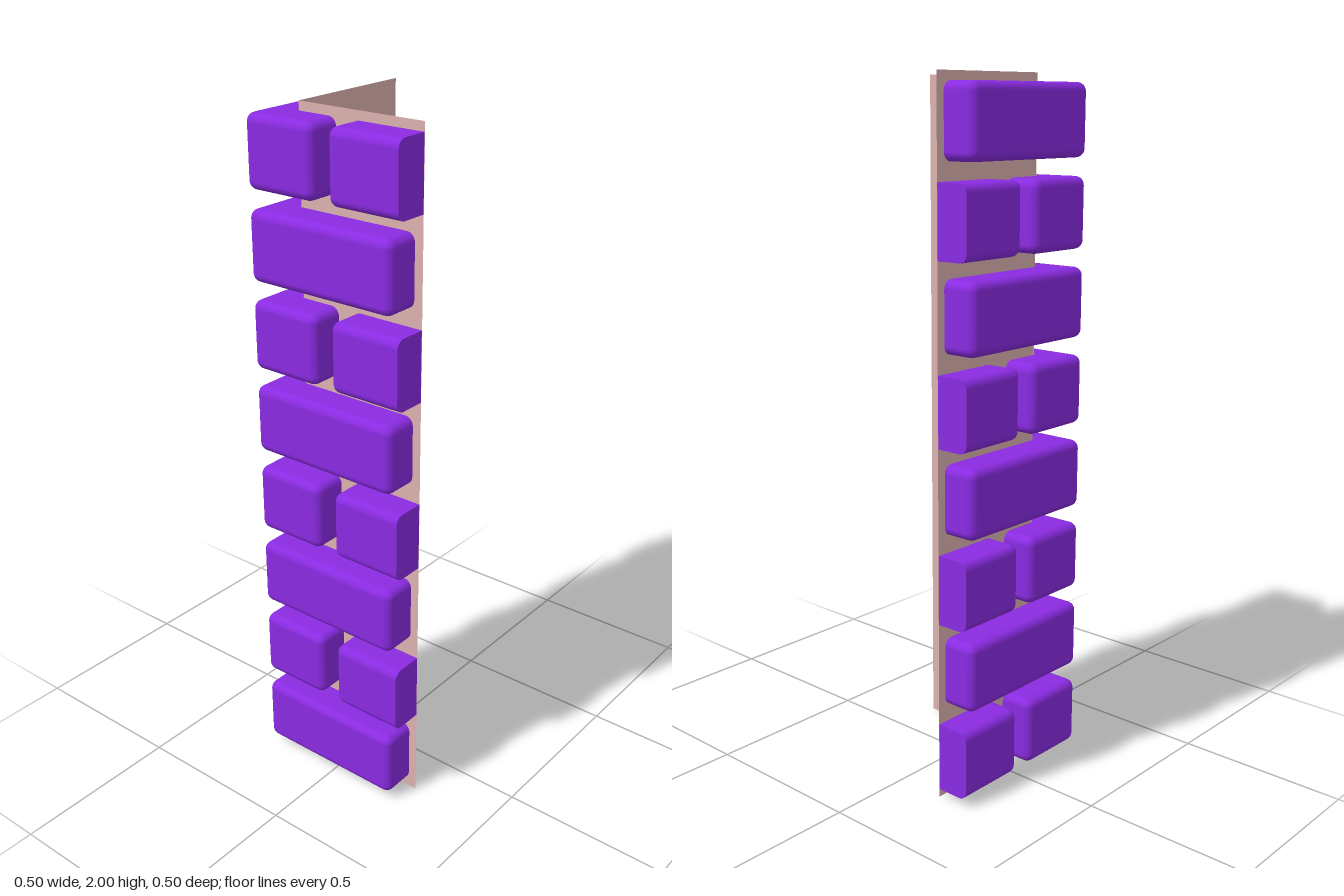
import * as THREE from 'three';
import { RoundedBoxGeometry } from 'three/addons/geometries/RoundedBoxGeometry.js';

const R = 0.025;         // edge rounding and half the mortar gap
const OUT = 0.25;        // outer reach of the corner
const IN = 0.15;         // plane of the backing
const COURSES = 8;
const PITCH = 2 / COURSES;

// Rounded block between two corners. Sides listed in cuts ([axis, +1 or -1])
// are sawn flat: the block is made longer by R there and pressed back to the plane.
function blockGeometry(min, max, cuts) {
  const lo = [...min], hi = [...max];
  for (const [axis, side] of cuts) {
    if (side > 0) hi[axis] += R;
    else lo[axis] -= R;
  }
  const geo = new RoundedBoxGeometry(hi[0] - lo[0], hi[1] - lo[1], hi[2] - lo[2], 4, R);
  geo.translate((lo[0] + hi[0]) / 2, (lo[1] + hi[1]) / 2, (lo[2] + hi[2]) / 2);
  const pos = geo.attributes.position, normal = geo.attributes.normal;
  for (const [axis, side] of cuts) {
    const plane = side > 0 ? max[axis] : min[axis];
    for (let i = 0; i < pos.count; i += 3) {
      const corners = [i, i + 1, i + 2];
      const flat = corners.every((k) => (pos.getComponent(k, axis) - plane) * side > -1e-5);
      for (const k of corners) {
        if ((pos.getComponent(k, axis) - plane) * side > 0) pos.setComponent(k, axis, plane);
        if (flat) {
          normal.setXYZ(k, 0, 0, 0);
          normal.setComponent(k, axis, side);
        }
      }
    }
  }
  return geo;
}

export function createModel() {
  const model = new THREE.Group();
  model.name = 'brickCorner';
  const brickMaterial = new THREE.MeshStandardMaterial({ color: 0x8a2be2 });
  const mortarMaterial = new THREE.MeshStandardMaterial({ color: 0xdcb2af, side: THREE.DoubleSide });

  const add = (parent, name, geo, material) => {
    const mesh = new THREE.Mesh(geo, material);
    mesh.name = name;
    parent.add(mesh);
    return mesh;
  };

  // Thin mortar backing, one sheet for each wall
  const sheet = OUT + IN;
  const mid = (OUT - IN) / 2;
  const skin = 0.001;
  add(model, 'frontMortar', new THREE.PlaneGeometry(sheet, 2), mortarMaterial)
    .position.set(mid, 1, IN - skin);
  const sideMortar = add(model, 'sideMortar', new THREE.PlaneGeometry(sheet, 2), mortarMaterial);
  sideMortar.rotation.y = -Math.PI / 2;
  sideMortar.position.set(-IN + skin, 1, -mid);

  // Courses: the long leg of the corner brick swaps walls on every course
  for (let i = 0; i < COURSES; i++) {
    const course = new THREE.Group();
    course.name = `course${i + 1}`;
    model.add(course);
    const y0 = i * PITCH + R, y1 = (i + 1) * PITCH - R;
    const longFront = i % 2 === 0;
    const frontEnd = longFront ? OUT - R : -R;
    const sideEnd = longFront ? R : -OUT + R;

    // L-shaped corner brick made of two legs
    add(course, 'cornerBrickFront',
      blockGeometry([-OUT, y0, IN], [frontEnd, y1, OUT], [[2, -1]]), brickMaterial);
    add(course, 'cornerBrickSide',
      blockGeometry([-OUT, y0, sideEnd], [-IN, y1, IN], [[0, 1], [2, 1]]), brickMaterial);

    // Cut brick that fills the wall with the short leg
    if (longFront) {
      add(course, 'sideCutBrick',
        blockGeometry([-OUT, y0, -OUT], [-IN, y1, -R], [[0, 1], [2, -1]]), brickMaterial);
    } else {
      add(course, 'frontCutBrick',
        blockGeometry([R, y0, IN], [OUT, y1, OUT], [[0, 1], [2, -1]]), brickMaterial);
    }
  }
  return model;
}
